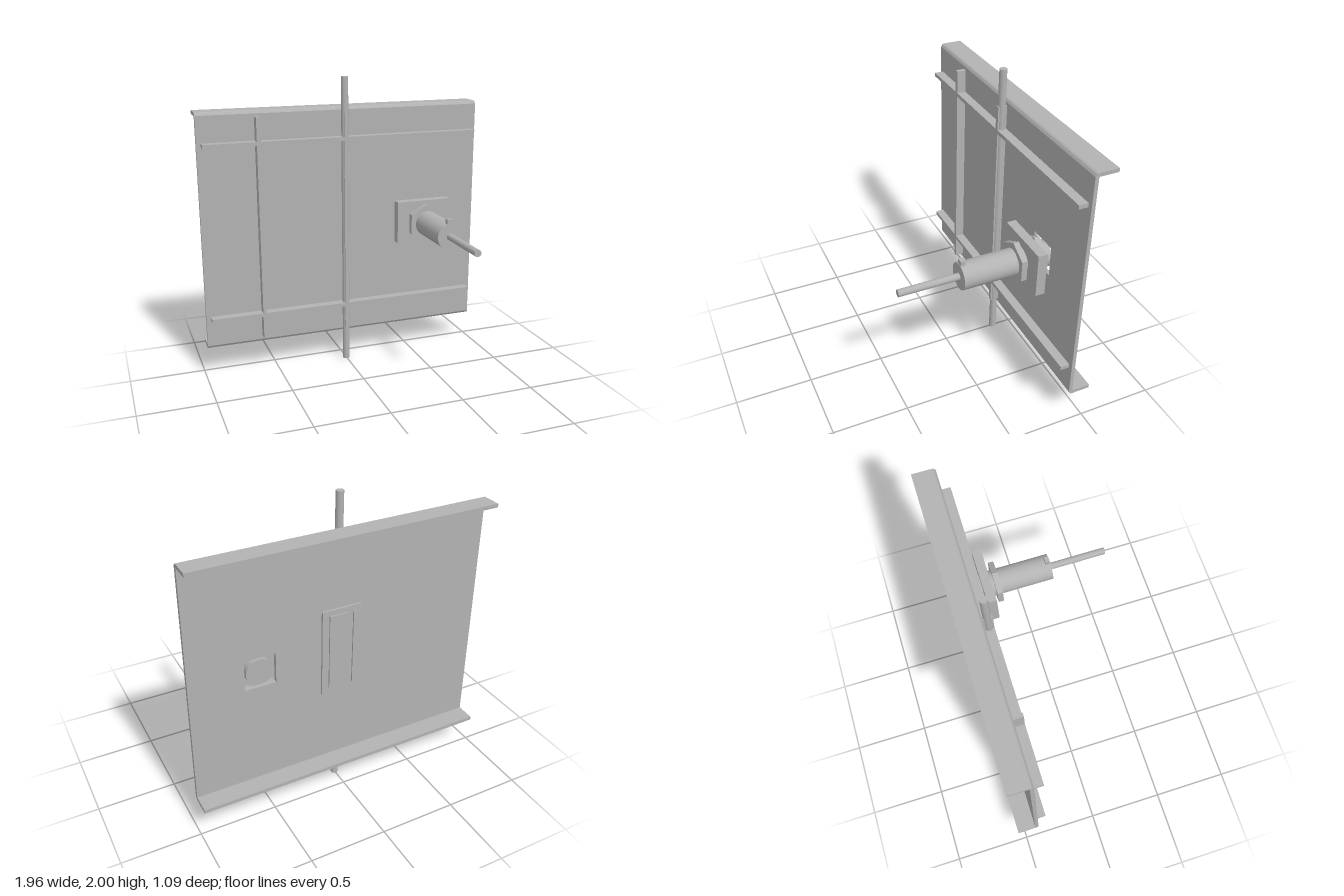
import * as THREE from 'three';

export function createModel() {
  const model = new THREE.Group();
  const grey = new THREE.MeshStandardMaterial({ color: 0xb2b2b2 });
  grey.name = 'steel grey';

  const add = (name, geometry, parent = model) => {
    const mesh = new THREE.Mesh(geometry, grey);
    mesh.name = name;
    parent.add(mesh);
    return mesh;
  };
  // Box given by its limits on each axis
  const box = (name, x0, x1, y0, y1, z0, z1, parent) =>
    add(name, new THREE.BoxGeometry(x1 - x0, y1 - y0, z1 - z0), parent)
      .position.set((x0 + x1) / 2, (y0 + y1) / 2, (z0 + z1) / 2);

  // Panel sheet with a square opening behind the sensor
  const rect = (T, x0, x1, y0, y1) => {
    const s = new T();
    s.moveTo(x0, y0);
    s.lineTo(x1, y0);
    s.lineTo(x1, y1);
    s.lineTo(x0, y1);
    s.closePath();
    return s;
  };
  const sheet = rect(THREE.Shape, -0.98, 0.98, 0.22, 1.78);
  sheet.holes.push(rect(THREE.Path, 0.435, 0.635, 0.9, 1.1));
  add('panel', new THREE.ExtrudeGeometry(sheet, { depth: 0.024, bevelEnabled: false }))
    .position.z = -0.424;

  // Bent flanges running along the top and bottom edges
  for (const side of [1, -1]) {
    const pts = [[-0.4, 0.78], [-0.41, 0.795], [-0.42, 0.8], [-0.547, 0.8], [-0.547, 0.776], [-0.424, 0.776]]
      .map(([z, y]) => new THREE.Vector2(-z, 1 + side * y));
    const geo = new THREE.ExtrudeGeometry(new THREE.Shape(pts), { depth: 1.96, bevelEnabled: false });
    geo.rotateY(Math.PI / 2);
    // extrusion now runs along +x and the profile along -z
    geo.translate(-0.98, 0, 0);
    add(side > 0 ? 'topFlange' : 'bottomFlange', geo);
  }

  // Front rails and uprights
  for (const y of [0.418, 1.592]) box('rail', -0.95, 0.95, y - 0.013, y + 0.013, -0.4, -0.34);
  for (const x of [-0.59, 0]) box('upright', x - 0.013, x + 0.013, 0.25, 1.76, -0.4, -0.34);

  // Long vertical rod
  add('verticalRod', new THREE.CylinderGeometry(0.024, 0.024, 2, 16)).position.set(0, 1, -0.37);

  // Raised cover on the back
  box('backCover', -0.125, 0.135, 0.715, 1.295, -0.437, -0.424);
  box('backCoverRidge', -0.04, 0.09, 0.755, 1.26, -0.446, -0.437);
  box('backCoverRib', -0.09, -0.07, 0.755, 1.26, -0.446, -0.437);

  // Sensor assembly, axis along z
  const sensor = new THREE.Group();
  sensor.name = 'sensor';
  sensor.position.set(0.538, 1, 0);
  model.add(sensor);
  const barrel = (name, r, z0, z1, sides) => {
    const geo = new THREE.CylinderGeometry(r, r, z1 - z0, sides);
    geo.rotateX(Math.PI / 2);
    add(name, geo, sensor).position.z = (z0 + z1) / 2;
  };
  barrel('sensorBody', 0.086, -0.421, 0.16, 40);
  barrel('cable', 0.023, 0.16, 0.547, 20);
  barrel('frontNut', 0.136, -0.232, -0.195, 6);
  barrel('rearNut', 0.136, -0.37, -0.333, 6);
  box('mountingPlate', -0.196, 0.196, -0.142, 0.148, -0.315, -0.254, sensor);
  box('indicator', -0.02, 0.02, 0.075, 0.115, 0.127, 0.157, sensor);

  // Nuts are faceted
  sensor.children.filter((m) => m.name.endsWith('Nut')).forEach((m) => {
    m.geometry = m.geometry.toNonIndexed();
    m.geometry.computeVertexNormals();
  });
  return model;
}
